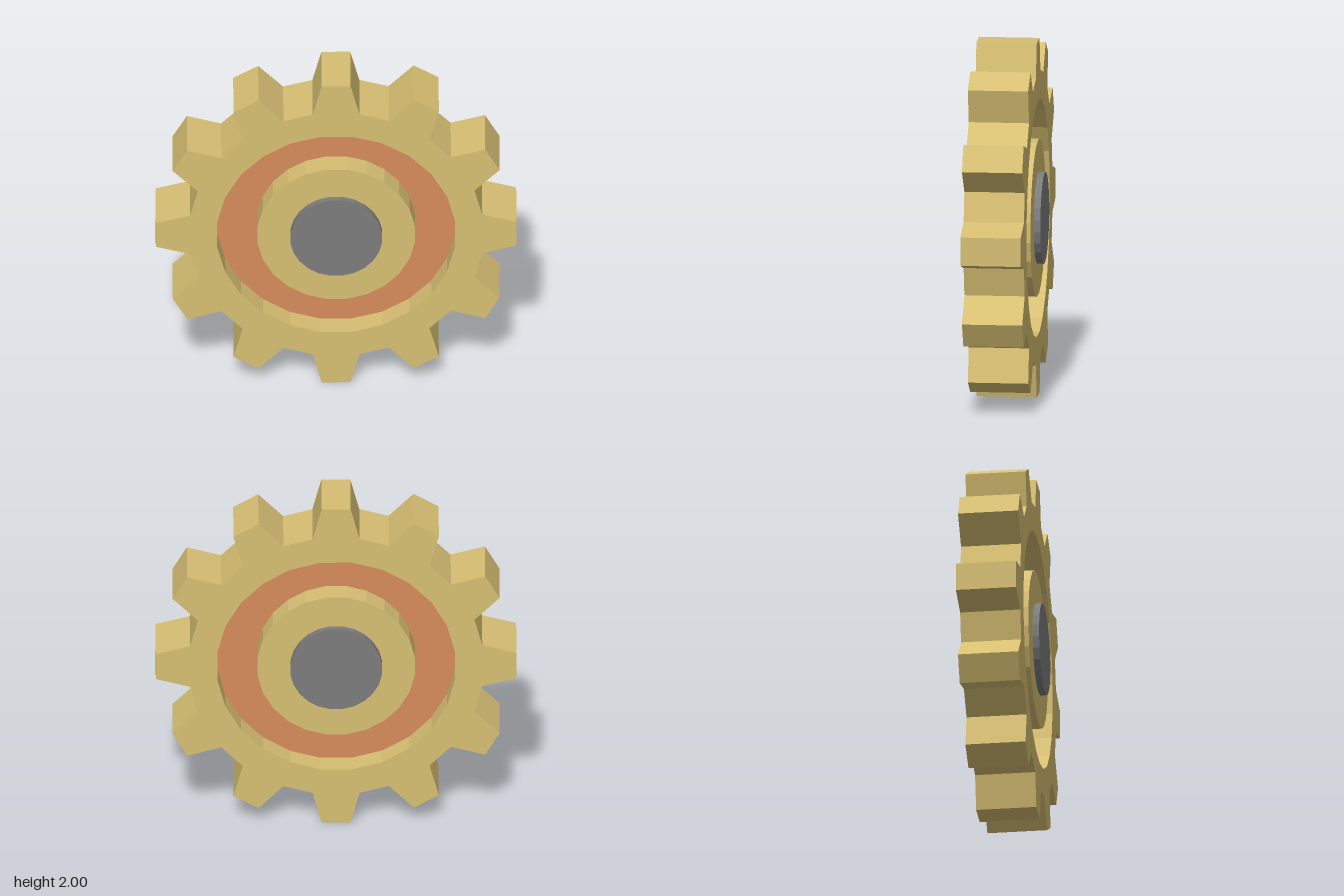
import * as THREE from 'three';

const SIDES = 24;
const TEETH = 12;
const HALF = 0.168;      // half thickness of rim and hub
const WEB_HALF = 0.038;  // half thickness of the recessed web
const RIM_R = 0.665, HUB_R = 0.44, SHAFT_R = 0.256;

const material = (name, color) => {
  const m = new THREE.MeshStandardMaterial({ color, flatShading: true });
  m.name = name;
  return m;
};

// Regular polygon with a flat edge at the top
function circlePoints(r) {
  return Array.from({ length: SIDES }, (_, i) => {
    const a = ((i + 0.5) / SIDES) * Math.PI * 2;
    return new THREE.Vector2(Math.cos(a) * r, Math.sin(a) * r);
  });
}

// Outline of the toothed edge: root, tip, tip, root for each tooth
function toothedPoints() {
  const tooth = [[-0.13, 0.81], [-0.08, 1], [0.08, 1], [0.13, 0.81]];
  const points = [];
  for (let i = 0; i < TEETH; i++) {
    const a = (-i / TEETH) * Math.PI * 2;
    for (const [x, y] of tooth) {
      points.push(new THREE.Vector2(x, y).rotateAround(new THREE.Vector2(), a));
    }
  }
  return points;
}

// Flat ring centred on z = 0
function ring(outer, holeRadius, half) {
  const shape = new THREE.Shape(outer);
  shape.holes.push(new THREE.Path(circlePoints(holeRadius)));
  const geometry = new THREE.ExtrudeGeometry(shape, { depth: half * 2, bevelEnabled: false });
  return geometry.translate(0, 0, -half);
}

export function createModel() {
  const brass = material('brass', 0xd6be72);
  const copper = material('copper', 0xd68c5b);
  const steel = material('steel', 0x7c7c7c);

  const gear = new THREE.Group();
  gear.name = 'gear';
  const add = (name, geometry, mat) => {
    const mesh = new THREE.Mesh(geometry, mat);
    mesh.name = name;
    mesh.position.y = 1;
    gear.add(mesh);
  };

  add('toothedRim', ring(toothedPoints(), RIM_R, HALF), brass);
  add('web', ring(circlePoints(RIM_R), HUB_R, WEB_HALF), copper);
  add('hub', ring(circlePoints(HUB_R), SHAFT_R, HALF), brass);

  // Shaft stands slightly proud of the hub on both faces
  const shaft = new THREE.CylinderGeometry(SHAFT_R, SHAFT_R, 0.41, SIDES, 1, false, Math.PI / SIDES);
  add('shaft', shaft.rotateX(Math.PI / 2), steel);

  return gear;
}
